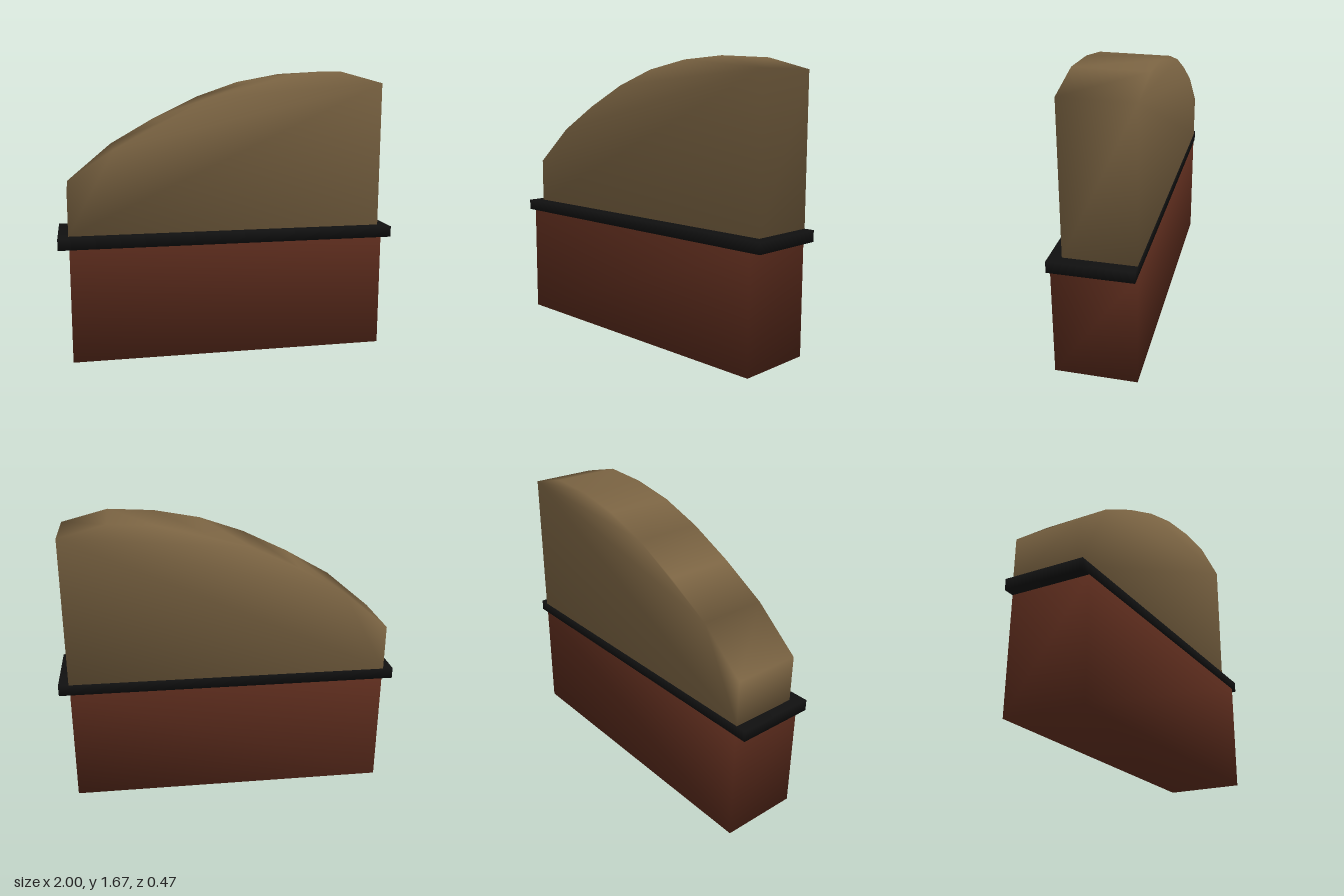
import * as THREE from 'three';
import { mergeVertices } from 'three/addons/utils/BufferGeometryUtils.js';

const BACK = -0.235, FRONT = 0.235;

// Extrudes an x/y outline between two depths and shares its corners for soft shading
function prism(name, outline, zBack, zFront, color) {
  const shape = new THREE.Shape(outline.map(([x, y]) => new THREE.Vector2(x, y)));
  const geometry = new THREE.ExtrudeGeometry(shape, { depth: zFront - zBack, bevelEnabled: false });
  geometry.translate(0, 0, zBack);
  geometry.deleteAttribute('normal');
  geometry.deleteAttribute('uv');
  const smooth = mergeVertices(geometry, 1e-4);
  smooth.computeVertexNormals();
  const mesh = new THREE.Mesh(smooth, new THREE.MeshStandardMaterial({ color }));
  mesh.name = name;
  return mesh;
}

const rect = (halfWidth, y0, y1) => [
  [-halfWidth, y0], [halfWidth, y0], [halfWidth, y1], [-halfWidth, y1],
];

export function createModel() {
  const model = new THREE.Group();
  model.name = 'steppedWall';

  // Lower wall and the dark ledge capping it
  model.add(prism('base', rect(0.935, 0, 0.67), BACK, FRONT, 0x55281a));
  model.add(prism('ledge', rect(1, 0.67, 0.735), BACK, FRONT, 0x101010));

  // Upper wall with a lopsided arched top, flush with the back
  const arch = [
    [0.94, 1.6], [0.67, 1.67], [0.4, 1.655], [0.13, 1.605],
    [-0.13, 1.515], [-0.4, 1.385], [-0.67, 1.23], [-0.94, 1.005],
  ];
  model.add(prism('upperWall', [[-0.94, 0.735], [0.94, 0.735], ...arch], BACK, 0.165, 0x7a6342));

  return model;
}
